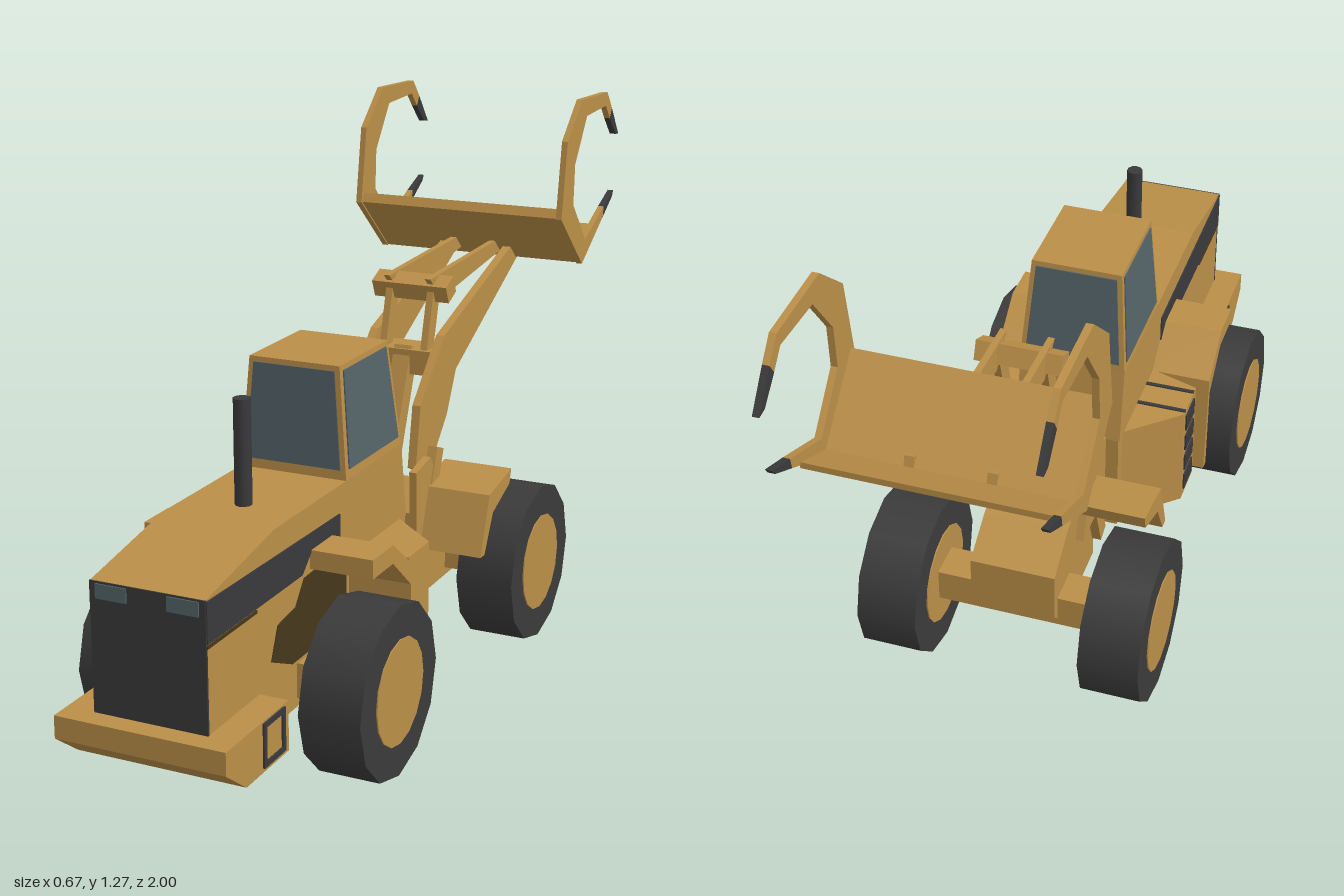
import * as THREE from 'three';

const paint = (name, color) => {
  const m = new THREE.MeshStandardMaterial({ color });
  m.name = name;
  return m;
};

export function createModel() {
  const yellow = paint('ochre paint', 0xbb8f48);
  const dark = paint('charcoal', 0x3a3a3c);
  const rubber = paint('tyre rubber', 0x3b3b3b);
  const glass = paint('window glass', 0x546469);
  const grime = paint('shadow brown', 0x46371c);

  const model = new THREE.Group();
  model.name = 'grappleTractor';

  const add = (name, geo, mat, parent = model) => {
    const mesh = new THREE.Mesh(geo, mat);
    mesh.name = name;
    parent.add(mesh);
  };
  const toShape = pts => new THREE.Shape(pts.map(p => new THREE.Vector2(p[0], p[1])));

  // Side profile of [z, y] points, extruded from x0 to x1
  const slab = (name, pts, x0, x1, mat = yellow) => {
    const g = new THREE.ExtrudeGeometry(toShape(pts), { depth: x1 - x0, bevelEnabled: false });
    g.rotateY(-Math.PI / 2).translate(x1, 0, 0);
    add(name, g, mat);
  };
  // Same profile on both sides, x0 < x1 measured outward
  const pair = (name, pts, x0, x1, mat = yellow) => {
    slab(name + 'Left', pts, x0, x1, mat);
    slab(name + 'Right', pts, -x1, -x0, mat);
  };
  // Plan outline of [x, z] points, extruded from y0 to y1
  const plan = (name, pts, y0, y1) => {
    const g = new THREE.ExtrudeGeometry(toShape(pts.map(([x, z]) => [x, -z])), { depth: y1 - y0, bevelEnabled: false });
    g.rotateX(-Math.PI / 2).translate(0, y0, 0);
    add(name, g, yellow);
  };
  const box = (name, x0, x1, y0, y1, z0, z1, mat = yellow) => {
    const g = new THREE.BoxGeometry(x1 - x0, y1 - y0, z1 - z0);
    g.translate((x0 + x1) / 2, (y0 + y1) / 2, (z0 + z1) / 2);
    add(name, g, mat);
  };
  // Outline of a straight bar between two [z, y] points
  const bar = ([az, ay], [bz, by], w) => {
    const l = Math.hypot(bz - az, by - ay);
    const nz = -(by - ay) / l * w / 2, ny = (bz - az) / l * w / 2;
    return [[az + nz, ay + ny], [az - nz, ay - ny], [bz - nz, by - ny], [bz + nz, by + ny]];
  };
  // Tapered block; each section is { y, z0, z1, hx }
  const taper = (name, lo, hi, mat = yellow) => {
    const g = new THREE.BoxGeometry(2, 1, 1).toNonIndexed();
    const p = g.attributes.position;
    for (let i = 0; i < p.count; i++) {
      const s = p.getY(i) < 0 ? lo : hi;
      p.setXYZ(i, Math.sign(p.getX(i)) * s.hx, s.y, p.getZ(i) < 0 ? s.z0 : s.z1);
    }
    g.computeVertexNormals();
    add(name, g, mat);
  };

  // Wheels with hub discs on both faces
  for (const [end, z] of [['rear', 0.505], ['front', -0.333]]) {
    for (const s of [1, -1]) {
      const wheel = new THREE.Group();
      wheel.name = end + (s > 0 ? 'LeftWheel' : 'RightWheel');
      wheel.position.set(s * 0.262, 0.198, z);
      const tyre = new THREE.CylinderGeometry(0.193, 0.193, 0.14, 12).rotateZ(Math.PI / 2);
      const hub = new THREE.CylinderGeometry(0.118, 0.118, 0.146, 16).rotateZ(Math.PI / 2);
      add('tyre', tyre, rubber, wheel);
      add('hub', hub, yellow, wheel);
      model.add(wheel);
    }
    box(end + 'Axle', -0.2, 0.2, 0.16, 0.24, z - 0.045, z + 0.045);
  }

  // Engine hood and chassis
  slab('hood', [[0.95, 0.25], [0.95, 0.53], [0.67, 0.58], [0.33, 0.58], [0.33, 0.25]], -0.128, 0.128);
  box('rearChassis', -0.115, 0.115, 0.14, 0.26, 0.3, 0.76);
  pair('hoodStripe', [[0.95, 0.44], [0.95, 0.527], [0.37, 0.517], [0.37, 0.435], [0.42, 0.48],
    [0.505, 0.48], [0.55, 0.44]], 0.127, 0.131, dark);
  pair('wheelWell', [[0.69, 0.3], [0.66, 0.37], [0.58, 0.38], [0.54, 0.43], [0.4, 0.435],
    [0.34, 0.37], [0.34, 0.26], [0.6, 0.26]], 0.127, 0.131, grime);
  pair('hoodSeam', [[0.95, 0.43], [0.95, 0.437], [0.75, 0.437], [0.75, 0.43]], 0.127, 0.131, grime);
  box('rearGrille', -0.129, 0.129, 0.25, 0.53, 0.948, 0.953, dark);
  for (const s of [1, -1]) box('rearLamp', s * 0.08 - 0.035, s * 0.08 + 0.035, 0.495, 0.526, 0.951, 0.956, glass);
  add('exhaust', new THREE.CylinderGeometry(0.019, 0.019, 0.24, 10).translate(0, 0.69, 0.56), dark);

  // Counterweight with framed side steps
  slab('counterweight', [[1, 0.2], [1, 0.25], [0.74, 0.25], [0.74, 0.14], [0.92, 0.14]], -0.193, 0.193);
  for (const y of [0.155, 0.24]) pair('stepRail', bar([0.765, y], [0.85, y], 0.012), 0.19, 0.197, dark);
  for (const z of [0.765, 0.845]) pair('stepPost', bar([z, 0.15], [z, 0.245], 0.012), 0.19, 0.197, dark);

  // Cab, with windows following its taper
  const cab = (y, dx = 0, dz = 0) => {
    const t = (y - 0.58) / 0.25, mix = THREE.MathUtils.lerp;
    return { y, hx: mix(0.128, 0.108, t) + dx, z0: mix(0.045, 0.08, t) - dz, z1: mix(0.335, 0.325, t) + dz };
  };
  taper('cab', cab(0.58), cab(0.83));
  taper('sideWindows', cab(0.602, 0.003, -0.015), cab(0.818, 0.003, -0.015), glass);
  taper('endWindows', cab(0.602, -0.012, 0.003), cab(0.818, -0.012, 0.003), glass);
  taper('cabBase', { y: 0.4, z0: 0.015, z1: 0.335, hx: 0.128 }, cab(0.58));
  box('cabFrame', -0.125, 0.125, 0.14, 0.4, 0.015, 0.33);

  // Angled side platforms and the access ladder
  plan('sidePlatforms', [[0.125, 0.05], [0.248, 0.16], [0.248, 0.27], [0.125, 0.31],
    [-0.125, 0.31], [-0.248, 0.27], [-0.248, 0.16], [-0.125, 0.05]], 0.135, 0.402);
  for (let i = 0; i < 4; i++) {
    const y = 0.155 + i * 0.062;
    box('ladderOpening', -0.252, -0.247, y, y + 0.045, 0.175, 0.25, dark);
  }
  for (const z of [0.172, 0.25]) box('ladderEdge', -0.248, -0.128, 0.4, 0.405, z - 0.005, z + 0.005, dark);

  // Fenders
  pair('rearFender', [[0.51, 0.44], [0.51, 0.482], [0.41, 0.482], [0.305, 0.402], [0.285, 0.14],
    [0.31, 0.14], [0.315, 0.36], [0.41, 0.44]], 0.12, 0.273);
  pair('frontFender', [[-0.09, 0.28], [-0.14, 0.42], [-0.28, 0.445], [-0.27, 0.41], [-0.165, 0.37],
    [-0.115, 0.28]], 0.1, 0.273);

  // Articulated joint
  const joint = [[-0.09, 0.02], [0.09, 0.02], [0.05, -0.13], [-0.05, -0.13]];
  plan('upperHinge', joint, 0.295, 0.33);
  plan('lowerHinge', joint, 0.14, 0.175);
  add('hingePin', new THREE.CylinderGeometry(0.022, 0.022, 0.18, 10).translate(0, 0.235, -0.05), yellow);

  // Front frame and boom towers
  slab('frontFrame', [[-0.1, 0.14], [-0.1, 0.36], [-0.18, 0.42], [-0.3, 0.38], [-0.4, 0.32],
    [-0.4, 0.2], [-0.34, 0.14]], -0.1, 0.1);
  pair('boomTower', [[-0.07, 0.3], [-0.065, 0.475], [-0.15, 0.49], [-0.2, 0.41], [-0.24, 0.3]], 0.1, 0.118);

  // Boom arms, lift cylinders and tilt linkage
  pair('boomArm', [[-0.11, 0.47], [-0.135, 0.617], [-0.275, 0.755], [-0.45, 0.81], [-0.74, 0.9],
    [-0.755, 0.855], [-0.35, 0.655], [-0.297, 0.555], [-0.24, 0.495], [-0.19, 0.43]], 0.076, 0.097);
  pair('liftCylinder', bar([-0.09, 0.2], [-0.2, 0.5], 0.04), 0.098, 0.122);
  pair('tiltLever', bar([-0.265, 0.7], [-0.315, 0.88], 0.04), 0.045, 0.062);
  pair('tiltLink', [[-0.27, 0.89], [-0.69, 0.905], [-0.74, 0.875], [-0.34, 0.83]], 0.046, 0.061);
  slab('boomCrossbar', bar([-0.24, 0.69], [-0.33, 0.69], 0.06), -0.08, 0.08);
  slab('leverPin', bar([-0.29, 0.85], [-0.335, 0.87], 0.045), -0.097, 0.097);
  slab('tiltCylinder', bar([-0.15, 0.42], [-0.27, 0.72], 0.045), -0.022, 0.022);

  // Grapple: folded back plate with a clawed plate at each end
  slab('grapplePlate', [[-0.58, 0.998], [-0.592, 1.02], [-0.746, 0.877], [-0.86, 0.935],
    [-0.86, 0.92], [-0.742, 0.857]], -0.264, 0.264);
  pair('grappleClaw', [[-0.575, 0.997], [-0.605, 1.185], [-0.705, 1.275], [-0.9, 1.27], [-0.94, 1.225],
    [-0.925, 1.2], [-0.89, 1.237], [-0.745, 1.23], [-0.665, 1.12], [-0.66, 1.02], [-0.76, 0.915],
    [-0.9, 0.975], [-0.895, 0.948], [-0.74, 0.855]], 0.263, 0.278);
  pair('upperTip', [[-0.94, 1.225], [-0.925, 1.2], [-0.975, 1.153], [-1, 1.15]], 0.263, 0.278, dark);
  pair('lowerTip', [[-0.9, 0.975], [-0.895, 0.948], [-0.965, 0.99], [-0.975, 1.005]], 0.263, 0.278, dark);

  return model;
}
